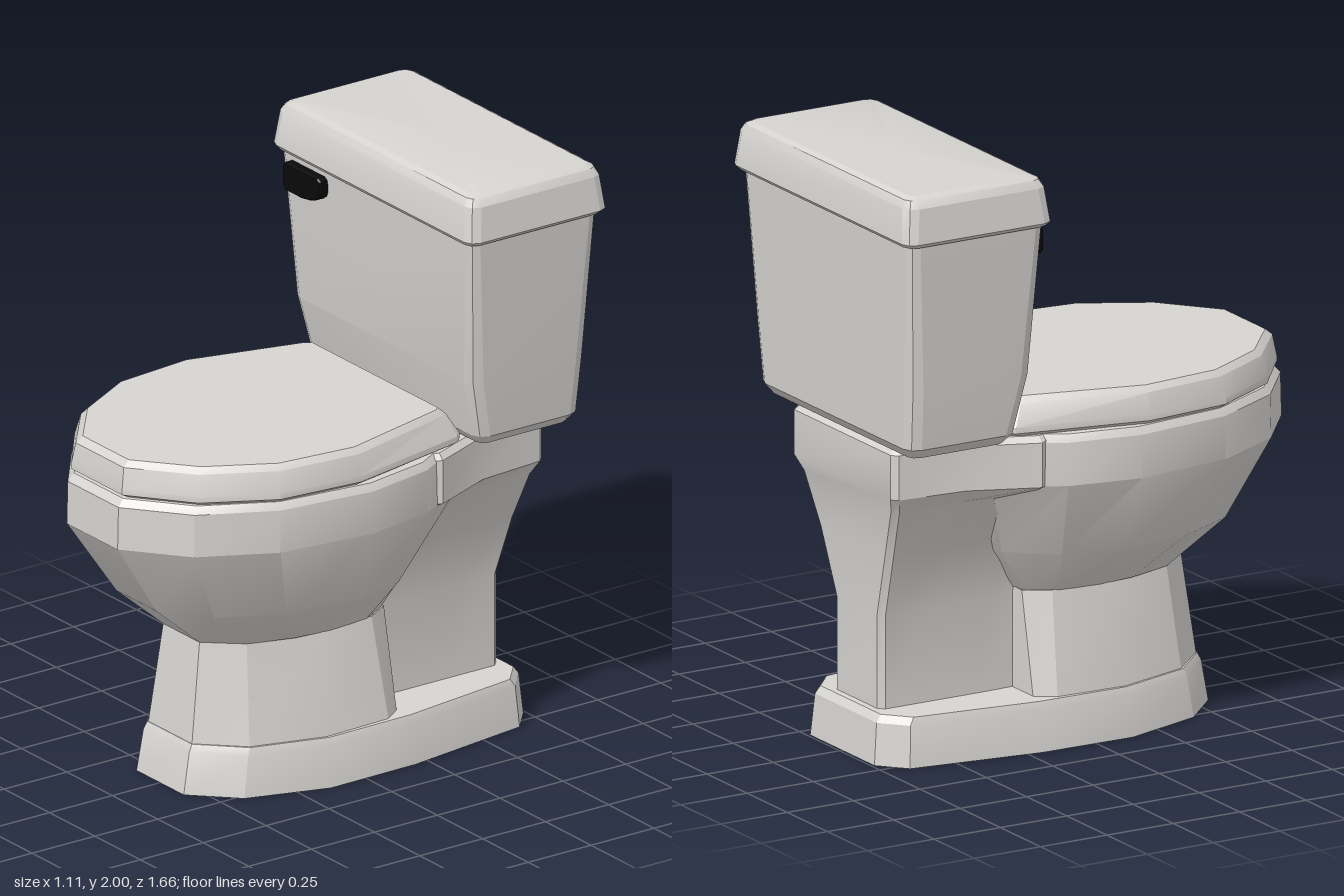
import * as THREE from 'three';
import { toCreasedNormals } from 'three/addons/utils/BufferGeometryUtils.js';

// Full ring at height y from half an outline of [x, z], front to back on the +x side.
function ring(y, half, scale = 1, zMid = 0) {
  const right = half.map(([x, z]) => [x * scale, zMid + (z - zMid) * scale]);
  const left = right.map(([x, z]) => [-x, z]).reverse();
  return [...right, ...left].map(([x, z]) => [x, y, z]);
}

// Rectangular ring with softened corners.
function boxRing(y, halfW, front, back, r) {
  const k = r * 0.3;
  return ring(y, [
    [halfW - r, front], [halfW - k, front - k], [halfW, front - r],
    [halfW, back + r], [halfW - k, back + k], [halfW - r, back],
  ]);
}

// Skin stacked rings from bottom to top, with optional end caps.
function loft(rings, { top = true, bottom = true, crease = 0.4 } = {}) {
  const n = rings[0].length;
  const pos = rings.flat(2);
  const idx = [];
  for (let i = 0; i < rings.length - 1; i++) {
    for (let j = 0; j < n; j++) {
      const a = i * n + j, b = i * n + (j + 1) % n;
      idx.push(a, b, b + n, a, b + n, a + n);
    }
  }
  const cap = (row, up) => {
    const c = pos.length / 3;
    const zs = rings[row].map((p) => p[2]);
    pos.push(0, rings[row][0][1], (Math.min(...zs) + Math.max(...zs)) / 2);
    for (let j = 0; j < n; j++) {
      const a = row * n + j, b = row * n + (j + 1) % n;
      idx.push(c, up ? a : b, up ? b : a);
    }
  };
  if (top) cap(rings.length - 1, true);
  if (bottom) cap(0, false);
  const geo = new THREE.BufferGeometry();
  geo.setAttribute('position', new THREE.Float32BufferAttribute(pos, 3));
  geo.setIndex(idx);
  return toCreasedNormals(geo.toNonIndexed(), crease);
}

export function createModel() {
  const group = new THREE.Group();
  const porcelain = new THREE.MeshStandardMaterial({ color: 0xd6d4d1, side: THREE.DoubleSide });
  porcelain.name = 'porcelain';
  const black = new THREE.MeshStandardMaterial({ color: 0x0a0a0a });
  black.name = 'black';
  const add = (name, geo, mat = porcelain) => {
    const mesh = new THREE.Mesh(geo, mat);
    mesh.name = name;
    group.add(mesh);
    return mesh;
  };

  // Foot: a hollow skirt with a ledge on top, open underneath
  const footLow = [[0.13, 0.56], [0.27, 0.42], [0.36, 0.14], [0.355, -0.2], [0.29, -0.66], [0.2, -0.74]];
  const footHigh = [[0.125, 0.53], [0.26, 0.395], [0.34, 0.13], [0.335, -0.2], [0.275, -0.645], [0.19, -0.72]];
  add('foot', loft([ring(0, footLow), ring(0.14, footHigh, 1.01), ring(0.165, footHigh, 0.985)],
    { top: false, bottom: false }));

  // Front column, an open tube between foot and bowl
  const columnLow = [[0.12, 0.52], [0.25, 0.385], [0.325, 0.13], [0.315, -0.12], [0.27, -0.185]];
  const columnHigh = [[0.1, 0.475], [0.2, 0.36], [0.26, 0.1], [0.25, -0.1], [0.2, -0.185]];
  add('column', loft([ring(0.165, columnLow), ring(0.505, columnHigh)], { top: false, bottom: false }));

  // Ledge around the column
  const flat = (pts) => pts.map(([x, , z]) => new THREE.Vector2(x, -z));
  const ledge = new THREE.Shape(flat(ring(0, footHigh, 0.985)));
  ledge.holes.push(new THREE.Path(flat(ring(0, columnLow, 0.98, 0.15))));
  add('footLedge', new THREE.ShapeGeometry(ledge).rotateX(-Math.PI / 2).translate(0, 0.165, 0));

  // Bowl
  const rim = [[0.14, 0.83], [0.34, 0.67], [0.47, 0.42], [0.512, 0.08], [0.465, -0.17], [0.34, -0.38], [0.12, -0.46]];
  const belly = [[0.11, 0.655], [0.27, 0.54], [0.375, 0.33], [0.41, 0.07], [0.36, -0.13], [0.23, -0.28], [0.09, -0.34]];
  const neck = [[0.1, 0.475], [0.2, 0.36], [0.25, 0.2], [0.262, 0.07], [0.25, -0.08], [0.2, -0.17], [0.08, -0.2]];
  add('bowl', loft([
    ring(0.5, neck), ring(0.655, belly), ring(0.92, rim),
    ring(1.065, rim, 0.995, 0.1), ring(1.09, rim, 0.965, 0.1),
  ]));

  // Deck under the tank, narrowing into the rear stem
  add('rearStem', loft([
    ring(0.165, [[0.14, -0.16], [0.145, -0.3], [0.145, -0.5], [0.145, -0.665], [0.125, -0.685]]),
    ring(0.48, [[0.14, -0.12], [0.145, -0.28], [0.145, -0.5], [0.145, -0.665], [0.125, -0.685]]),
    ring(0.7, [[0.18, -0.05], [0.215, -0.26], [0.22, -0.48], [0.22, -0.68], [0.2, -0.7]]),
    ring(0.87, [[0.26, 0], [0.34, -0.25], [0.295, -0.48], [0.29, -0.7], [0.27, -0.72]]),
    ring(0.92, [[0.3, 0], [0.435, -0.25], [0.34, -0.48], [0.32, -0.72], [0.3, -0.74]]),
    ring(1.07, [[0.3, 0], [0.435, -0.25], [0.34, -0.48], [0.32, -0.72], [0.3, -0.74]]),
    ring(1.09, [[0.3, 0], [0.415, -0.25], [0.325, -0.47], [0.305, -0.705], [0.285, -0.72]]),
  ], { bottom: false }));

  // Closed seat cover
  const cover = [[0.14, 0.812], [0.34, 0.655], [0.47, 0.42], [0.5, 0.12], [0.405, -0.33], [0.38, -0.355]];
  const coverTop = [[0.132, 0.8], [0.325, 0.64], [0.452, 0.41], [0.482, 0.12], [0.375, -0.295], [0.36, -0.315]];
  add('seatCover', loft([
    ring(1.085, cover, 0.94, 0.2), ring(1.105, cover), ring(1.125, cover),
    ring(1.195, coverTop), ring(1.215, coverTop, 0.96, 0.2),
  ]));

  // Tank
  add('tank', loft([
    boxRing(1.095, 0.445, -0.395, -0.745, 0.03),
    boxRing(1.13, 0.475, -0.365, -0.772, 0.045),
    boxRing(1.33, 0.497, -0.322, -0.78, 0.045),
    boxRing(1.86, 0.532, -0.294, -0.802, 0.035),
  ]));

  // Tank lid
  add('tankLid', loft([
    boxRing(1.835, 0.54, -0.285, -0.815, 0.035),
    boxRing(1.85, 0.556, -0.274, -0.829, 0.04),
    boxRing(1.965, 0.54, -0.288, -0.816, 0.04),
    boxRing(1.99, 0.525, -0.302, -0.804, 0.035),
    boxRing(2.0, 0.505, -0.322, -0.786, 0.03),
  ]));

  // Flush lever: square at the pivot, tapered at the tip
  const lever = new THREE.Shape();
  lever.moveTo(-0.465, 1.73);
  lever.lineTo(-0.45, 1.718);
  lever.lineTo(-0.37, 1.718);
  lever.quadraticCurveTo(-0.27, 1.728, -0.268, 1.765);
  lever.lineTo(-0.268, 1.8);
  lever.lineTo(-0.28, 1.808);
  lever.lineTo(-0.455, 1.808);
  lever.lineTo(-0.465, 1.798);
  const leverGeo = new THREE.ExtrudeGeometry(lever, {
    depth: 0.035, bevelEnabled: true, bevelThickness: 0.006, bevelSize: 0.004, bevelSegments: 1, curveSegments: 4,
  });
  add('flushLever', leverGeo, black).position.z = -0.306;

  return group;
}
